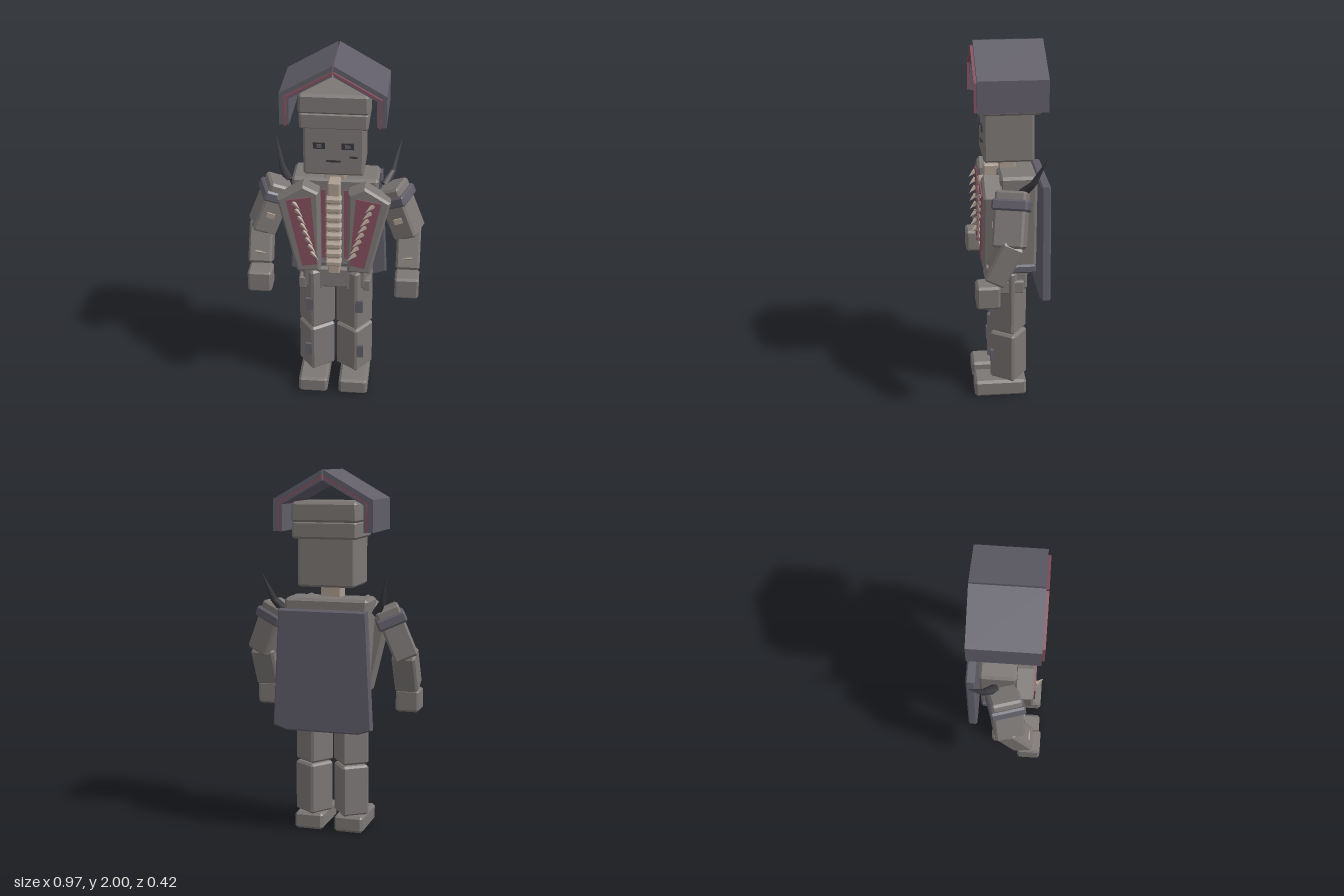
import * as THREE from 'three';
import { ConvexGeometry } from 'three/addons/geometries/ConvexGeometry.js';

const V = (x, y, z) => new THREE.Vector3(x, y, z);

function material(name, color) {
  const m = new THREE.MeshStandardMaterial({ color });
  m.name = name;
  return m;
}

// Box with chamfered edges; taper scales the top in x
function chamferBox(w, h, d, c = 0.012, taper = 1) {
  const pts = [];
  for (const sx of [-1, 1]) for (const sy of [-1, 1]) for (const sz of [-1, 1]) {
    const k = sy > 0 ? taper : 1;
    const x = w / 2 * k, y = h / 2, z = d / 2;
    pts.push(V(sx * x, sy * (y - c), sz * (z - c)), V(sx * (x - c), sy * y, sz * (z - c)), V(sx * (x - c), sy * (y - c), sz * z));
  }
  return new ConvexGeometry(pts);
}

export function createModel() {
  const root = new THREE.Group();
  root.name = 'figure';
  const grey = material('stoneGrey', 0x7c7775);
  const slate = material('slatePurple', 0x605d68);
  const red = material('dustyRed', 0x83505f);
  const bone = material('bone', 0xab9c8f);
  const dark = material('charcoal', 0x37363c);

  function add(name, geo, mat, p = [0, 0, 0], r = [0, 0, 0]) {
    const m = new THREE.Mesh(geo, mat);
    m.name = name;
    m.position.set(...p);
    m.rotation.set(...r);
    root.add(m);
    return m;
  }

  // Mesh whose y axis runs from a to b
  function along(name, geo, mat, a, b, twist = 0) {
    const m = add(name, geo, mat);
    m.position.copy(a).add(b).multiplyScalar(0.5);
    m.quaternion.setFromUnitVectors(V(0, 1, 0), b.clone().sub(a).normalize());
    m.rotateY(twist);
    return m;
  }

  // Flat outline given in x and y, extruded from z0 to z1
  function slab(name, mat, pts, z0, z1, bevel = 0) {
    const inner = new THREE.Shape(pts.map(([x, y]) => new THREE.Vector2(x, y)));
    const geo = new THREE.ExtrudeGeometry(inner, {
      depth: z1 - z0 - 2 * bevel, bevelEnabled: bevel > 0,
      bevelThickness: bevel, bevelSize: bevel, bevelOffset: -bevel, bevelSegments: 1,
    });
    geo.translate(0, 0, z0 + bevel);
    return add(name, geo, mat);
  }

  // Head and cap
  add('head', chamferBox(0.32, 0.29, 0.27), grey, [0, 1.52, 0.005]);
  add('capBand', chamferBox(0.36, 0.095, 0.31), grey, [0, 1.682, -0.01]);
  add('capTop', chamferBox(0.372, 0.11, 0.32, 0.014, 0.975), grey, [0, 1.777, -0.01]);
  add('mouth', new THREE.BoxGeometry(0.075, 0.01, 0.008), dark, [0, 1.46, 0.142]);
  add('cheekScar', new THREE.BoxGeometry(0.042, 0.009, 0.008), dark, [0.105, 1.485, 0.142]);

  // Neck, spine and vertebrae
  add('neck', chamferBox(0.115, 0.14, 0.09, 0.006), bone, [0, 1.325, 0.005]);
  add('spine', chamferBox(0.065, 0.56, 0.09, 0.006), bone, [0, 1.045, 0.085]);
  for (let i = 0; i < 8; i++) {
    add('vertebra', chamferBox(0.085, 0.035, 0.06, 0.008), bone, [0, 1.23 - i * 0.055, 0.13]);
  }

  // Torso, belt and hips
  add('torso', chamferBox(0.4, 0.53, 0.2, 0.015, 1.17), grey, [0, 1.05, -0.04]);
  add('belt', chamferBox(0.42, 0.05, 0.2, 0.01), slate, [0, 0.78, -0.038]);
  add('hips', chamferBox(0.35, 0.13, 0.18), grey, [0, 0.71, -0.005]);

  // Cape
  slab('cape', slate, [[-0.245, 1.26], [0.245, 1.26], [0.277, 0.62], [0.2, 0.595], [-0.2, 0.595], [-0.277, 0.62]], -0.21, -0.16, 0.008);

  for (const s of [-1, 1]) {
    const mir = pts => pts.map(([x, y]) => [s * x, y]);

    // Pitched hood in layers, t being the depth below the outer face
    const layer = (t0, t1) => {
      const row = t => [[0.004, 2 - 1.15 * t], [0.275 - t, 1.845 - 0.55 * t], [0.275 - t, 1.675]];
      return mir([...row(t0), ...row(t1).reverse()]);
    };
    slab('hoodShell', slate, layer(0, 0.025), -0.19, 0.18);
    slab('hoodLining', red, layer(0.025, 0.037), -0.187, 0.195);
    slab('hoodInside', slate, layer(0.037, 0.05), -0.19, 0.18);

    // Eye with a darker pupil plate
    add('eye', new THREE.BoxGeometry(0.064, 0.034, 0.009), dark, [s * 0.075, 1.547, 0.143]);
    add('pupil', new THREE.BoxGeometry(0.026, 0.02, 0.008), slate, [s * 0.075, 1.547, 0.146]);

    // Open chest flap with red lining
    slab('chestFlap', grey, mir([[0.165, 1.312], [0.305, 1.225], [0.2, 0.785], [0.075, 0.79], [0.08, 1.27]]), 0.05, 0.153, 0.012);
    slab('flapLining', red, mir([[0.12, 1.25], [0.255, 1.225], [0.17, 0.825], [0.09, 0.84]]), 0.152, 0.161);
    slab('innerLining', red, mir([[0.05, 1.25], [0.074, 1.25], [0.074, 0.83], [0.05, 0.83]]), 0.058, 0.067);

    // Row of teeth on the flap
    for (let i = 0; i < 8; i++) {
      const x = 0.215 - i * 0.0135, y = 1.215 - i * 0.043;
      along('tooth', new THREE.ConeGeometry(0.014, 0.062, 4).toNonIndexed(), bone,
        V(s * x, y, 0.157), V(s * (x - 0.045), y - 0.025, 0.2)).geometry.computeVertexNormals();
    }

    // Curved shoulder horn in two tapering lengths
    const h0 = V(s * 0.265, 1.24, -0.055), h1 = V(s * 0.305, 1.3, -0.105), h2 = V(s * 0.347, 1.455, -0.18);
    along('hornBase', new THREE.CylinderGeometry(0.018, 0.028, h0.distanceTo(h1) + 0.01, 6), dark, h0, h1);
    along('hornTip', new THREE.CylinderGeometry(0.001, 0.019, h1.distanceTo(h2), 6), dark, h1, h2);

    // Arm, shoulder band and hand
    const a0 = V(s * 0.41, 0.99, 0.03), a1 = V(s * 0.3, 1.265, 0);
    const up = a1.clone().sub(a0);
    along('upperArm', chamferBox(0.135, up.length(), 0.165), grey, a0, a1, s * -0.3);
    along('shoulderBand', chamferBox(0.165, 0.06, 0.19, 0.01), slate,
      a0.clone().addScaledVector(up, 0.64), a0.clone().addScaledVector(up, 0.86), s * -0.3);
    const f0 = V(s * 0.405, 0.81, 0.115), f1 = V(s * 0.405, 1.02, 0.01);
    along('forearm', chamferBox(0.13, f0.distanceTo(f1), 0.12), grey, f0, f1);
    add('hand', chamferBox(0.132, 0.125, 0.125), grey, [s * 0.404, 0.733, 0.143]);
    add('armPatch', new THREE.BoxGeometry(0.045, 0.03, 0.009), bone, [s * 0.345, 1.1, 0.108], [0, 0, s * 0.3]);
    add('armScar', new THREE.BoxGeometry(0.06, 0.008, 0.009), bone, [s * 0.4, 0.89, 0.142], [0.4, 0, s * 0.2]);

    // Leg: turned square blocks, patches and foot
    add('thigh', chamferBox(0.156, 0.37, 0.156), grey, [s * 0.106, 0.57, 0.006], [0, s * -0.62, 0]);
    add('shin', chamferBox(0.156, 0.285, 0.156), grey, [s * 0.108, 0.235, 0.004], [0, s * -0.62, 0]);
    add('foot', chamferBox(0.165, 0.095, 0.29, 0.014), grey, [s * 0.115, 0.0475, 0.055]);
    add('thighPatch', new THREE.BoxGeometry(0.042, 0.075, 0.02), slate, [s * 0.14, 0.54, 0.1]);
    add('shinPatch', new THREE.BoxGeometry(0.036, 0.075, 0.02), slate, [s * 0.148, 0.235, 0.1]);
    for (const x of [0.085, 0.18]) {
      add('skirtTab', chamferBox(0.04, 0.07, 0.16, 0.006), grey, [s * x, 0.67, 0.005]);
    }
  }
  return root;
}
